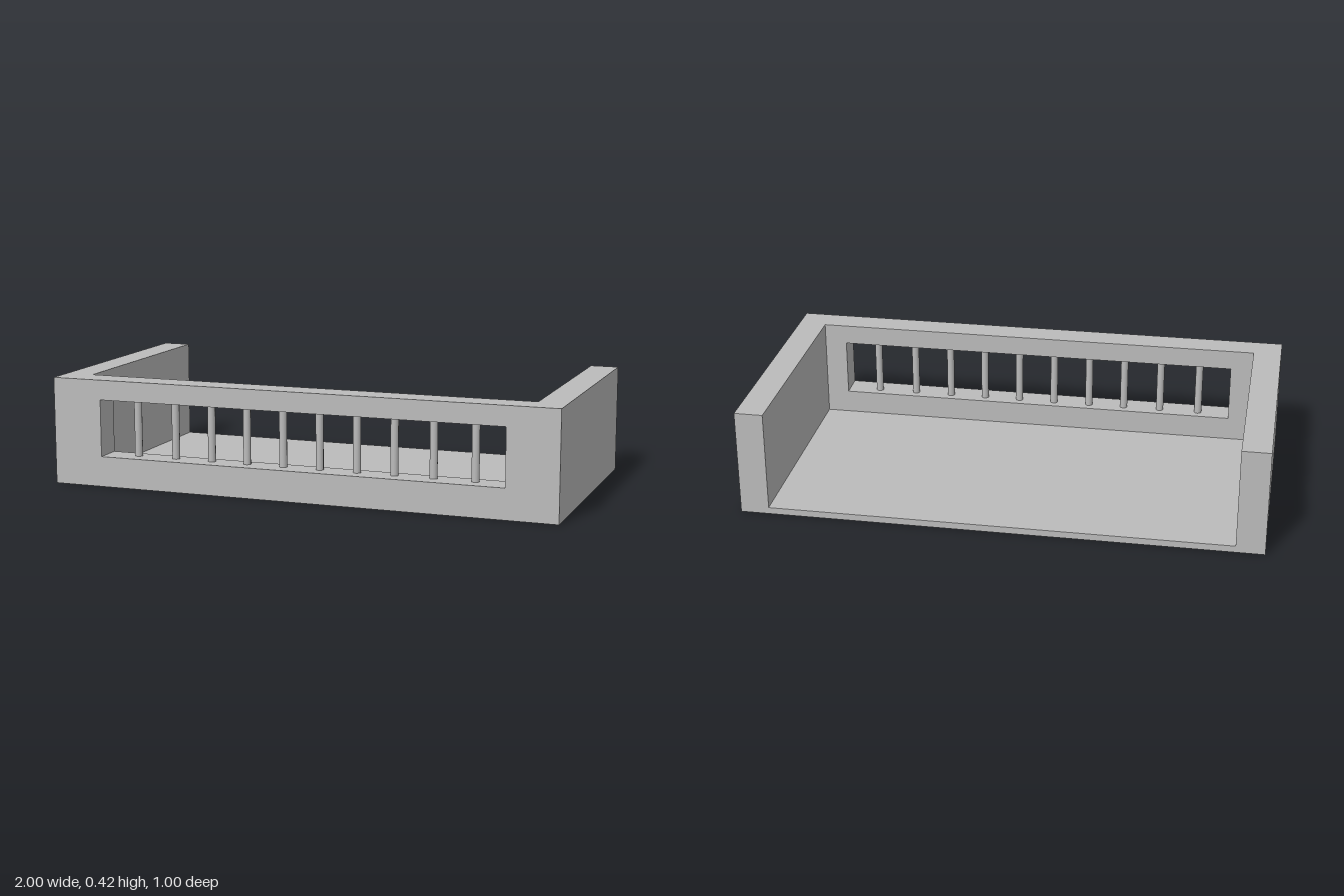
import * as THREE from 'three';

const W = 2, H = 0.417, D = 1, WALL = 0.11, FLOOR = 0.026;

export function createModel() {
  const model = new THREE.Group();
  model.name = 'balcony';
  const concrete = new THREE.MeshStandardMaterial({ color: 0xbcbcbc });
  concrete.name = 'concrete grey';

  const add = (name, geometry, x, y, z, parent = model) => {
    const mesh = new THREE.Mesh(geometry, concrete);
    mesh.name = name;
    mesh.position.set(x, y, z);
    parent.add(mesh);
  };

  // Front parapet with a long rectangular opening
  const rect = (Type, x, y0, y1) => new Type([
    new THREE.Vector2(-x, y0), new THREE.Vector2(x, y0),
    new THREE.Vector2(x, y1), new THREE.Vector2(-x, y1),
  ]);
  const face = rect(THREE.Shape, W / 2, 0, H);
  const sill = 0.118, lintel = 0.34;
  face.holes.push(rect(THREE.Path, 0.802, sill, lintel));
  const front = new THREE.ExtrudeGeometry(face, { depth: WALL, bevelEnabled: false });
  add('frontWall', front, 0, 0, D / 2 - WALL);

  // Solid side walls, open at the back
  const sideDepth = D - WALL;
  for (const [name, s] of [['leftWall', 1], ['rightWall', -1]]) {
    add(name, new THREE.BoxGeometry(WALL, H, sideDepth), s * (W - WALL) / 2, H / 2, -WALL / 2);
  }

  // Thin floor slab
  add('floor', new THREE.BoxGeometry(W - 2 * WALL, FLOOR, sideDepth), 0, FLOOR / 2, -WALL / 2);

  // Round balusters standing in the opening
  const balusters = new THREE.Group();
  balusters.name = 'balusters';
  model.add(balusters);
  const bar = new THREE.CylinderGeometry(0.015, 0.015, lintel - sill, 12, 1, true);
  for (const x of [0.073, 0.22, 0.366, 0.516, 0.674]) {
    for (const s of [-1, 1]) add('baluster', bar, s * x, (sill + lintel) / 2, 0.433, balusters);
  }
  return model;
}
